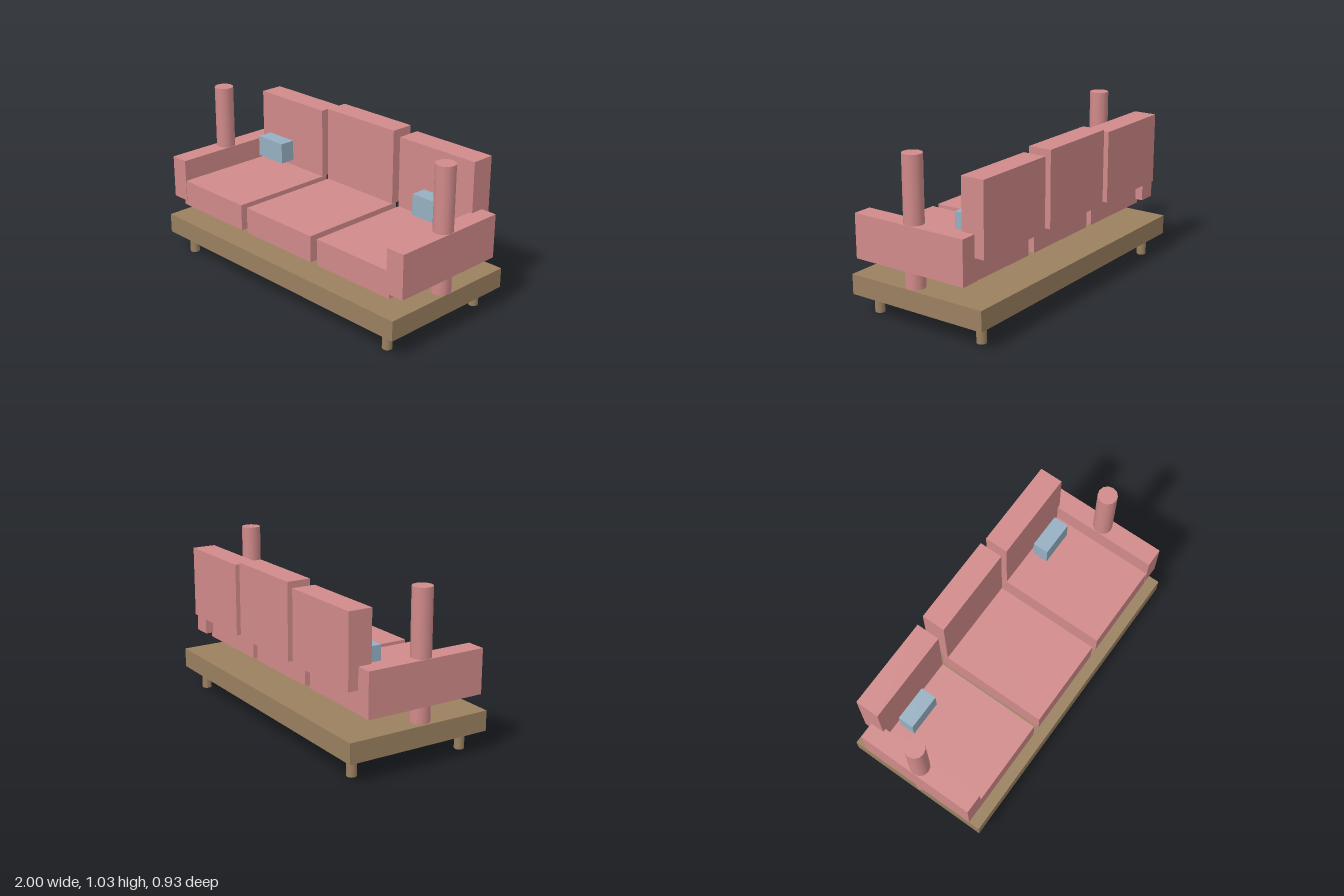
import * as THREE from 'three';

const fabric = new THREE.MeshStandardMaterial({ color: 0xd18a8a });
const wood = new THREE.MeshStandardMaterial({ color: 0x9a8060 });
const pillowBlue = new THREE.MeshStandardMaterial({ color: 0x96b0c2 });

export function createModel() {
  const sofa = new THREE.Group();
  sofa.name = 'sofa';

  // Box given by its extents on each axis
  function box(name, [x0, x1], [y0, y1], [z0, z1], material) {
    const mesh = new THREE.Mesh(new THREE.BoxGeometry(x1 - x0, y1 - y0, z1 - z0), material);
    mesh.position.set((x0 + x1) / 2, (y0 + y1) / 2, (z0 + z1) / 2);
    mesh.name = name;
    sofa.add(mesh);
  }

  // Upright cylinder between two heights
  function post(name, radius, x, [y0, y1], z, material) {
    const mesh = new THREE.Mesh(new THREE.CylinderGeometry(radius, radius, y1 - y0, 12), material);
    mesh.position.set(x, (y0 + y1) / 2, z);
    mesh.name = name;
    sofa.add(mesh);
  }

  // Platform
  box('base', [-0.988, 0.984], [0.125, 0.248], [-0.463, 0.463], wood);

  // Three seat and back cushions, the middle back slightly taller
  const cushions = [
    ['right', [-0.902, -0.335], 0.94],
    ['middle', [-0.283, 0.28], 0.965],
    ['left', [0.332, 0.899], 0.94],
  ];
  for (const [side, x, top] of cushions) {
    box(`${side}SeatCushion`, x, [0.33, 0.495], [-0.307, 0.404], fabric);
    box(`${side}BackCushion`, x, [0.497, top], [-0.42, -0.272], fabric);
  }

  for (const s of [-1, 1]) {
    const side = s > 0 ? 'left' : 'right';
    // Armrest with a round post running through it
    box(`${side}Armrest`, s > 0 ? [0.88, 1] : [-1, -0.88], [0.36, 0.63], [-0.357, 0.407], fabric);
    post(`${side}ArmPost`, 0.06, s * 0.94, [0.26, 1.027], 0.025, fabric);
    // Small pillow
    const px = s * 0.679 - 0.003;
    box(`${side}Pillow`, [px - 0.111, px + 0.111], [0.555, 0.687], [-0.235, -0.136], pillowBlue);
    // Feet
    for (const t of [-1, 1]) {
      post(`${side}${t > 0 ? 'Front' : 'Back'}Leg`, 0.03, s * 0.865 - 0.002, [0, 0.1], t * 0.371, wood);
    }
  }
  return sofa;
}
